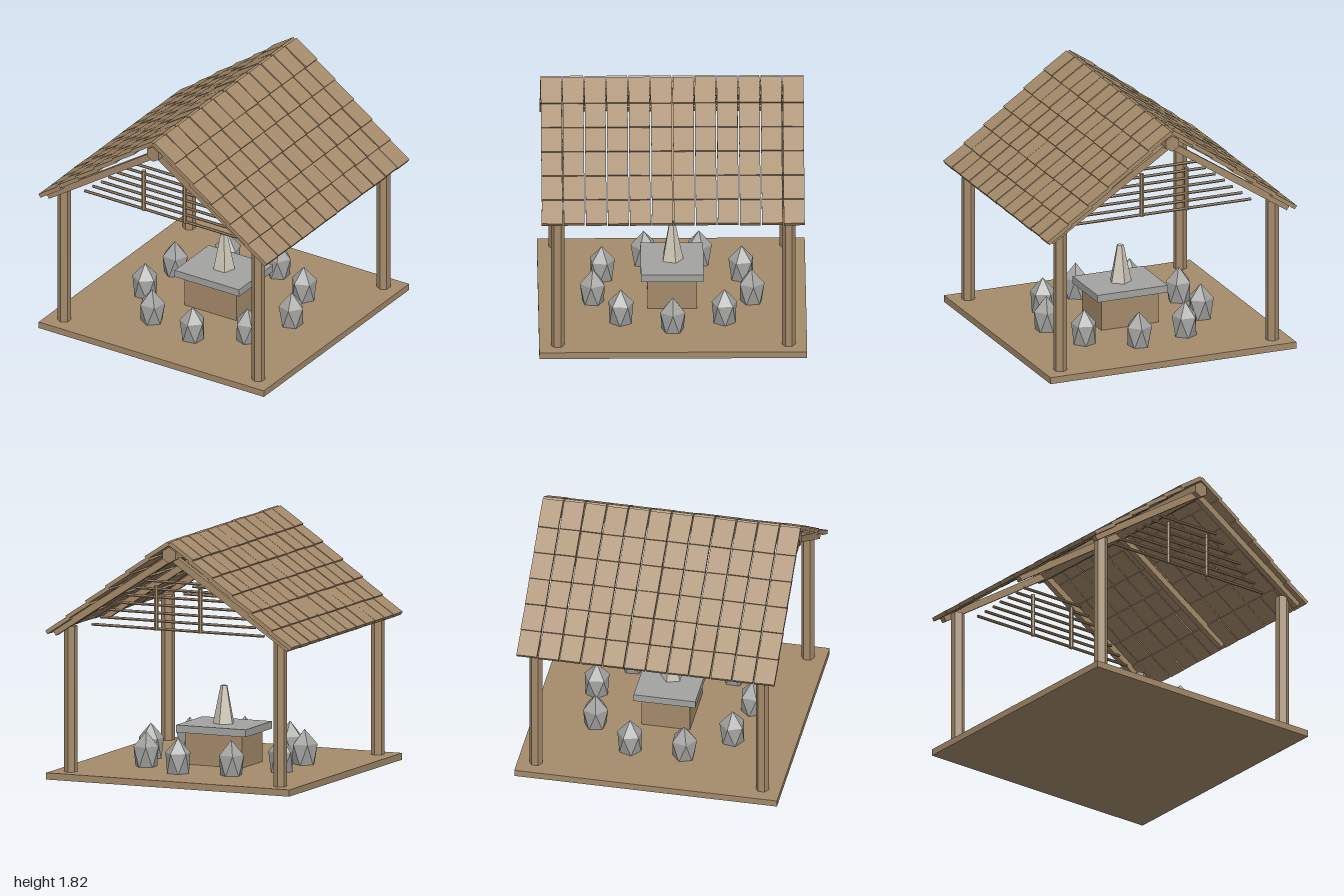
import * as THREE from 'three';
import { ConvexGeometry } from 'three/addons/geometries/ConvexGeometry.js';

export function createModel() {
  const model = new THREE.Group();
  model.name = 'pavilion';
  const material = (name, color) => {
    const m = new THREE.MeshStandardMaterial({ color });
    m.name = name;
    return m;
  };
  const wood = material('wood', 0xa58b6b);
  const stone = material('greyStone', 0xa3a3a1);
  const paleStone = material('paleStone', 0xcfc8b8);

  // Small seeded jitter in -1..1
  let seed = 7;
  const jitter = () => {
    seed = (seed * 16807) % 2147483647;
    return (seed / 2147483647) * 2 - 1;
  };

  const add = (name, geometry, mat, x, y, z, parent = model) => {
    const mesh = new THREE.Mesh(geometry, mat);
    mesh.name = name;
    mesh.position.set(x, y, z);
    parent.add(mesh);
    return mesh;
  };
  const group = (name) => {
    const g = new THREE.Group();
    g.name = name;
    model.add(g);
    return g;
  };
  // Faceted cylinder
  const prism = (rTop, rBottom, height, sides) => {
    const g = new THREE.CylinderGeometry(rTop, rBottom, height, sides).toNonIndexed();
    g.computeVertexNormals();
    return g;
  };

  // Floor and corner posts
  add('floor', new THREE.BoxGeometry(1.96, 0.05, 1.96), wood, 0, 0.025, 0);
  const postGeo = prism(0.05, 0.05, 1.08, 6);
  for (const x of [-0.845, 0.845])
    for (const z of [-0.845, 0.845]) add('post', postGeo, wood, x, 0.59, z);

  // Ridge pole
  add('ridgePole', prism(0.06, 0.06, 1.92, 6), wood, 0, 1.72, 0).rotation.x = Math.PI / 2;

  // Rafters: one pair at each gable and one in the middle
  const rafters = group('rafters');
  const slope = Math.atan(0.656);
  const rafterGeo = new THREE.BoxGeometry(1.13, 0.05, 0.045);
  for (const s of [-1, 1])
    for (const z of [-0.895, 0, 0.895])
      add('rafter', rafterGeo, wood, s * 0.4725, 1.39, z, rafters).rotation.z = -s * slope;

  // Overlapping wooden shingles, slightly uneven
  const shingles = group('shingles');
  const length = 0.22, thick = 0.03, tilt = Math.atan(0.66);
  const shingleGeo = new THREE.BoxGeometry(length, thick, 0.152);
  const c = Math.cos(tilt), sn = Math.sin(tilt);
  for (const s of [-1, 1])
    for (let row = 0; row < 6; row++)
      for (let col = 0; col < 12; col++) {
        // Offset from the lower top edge to the shingle's centre
        const x = 0.995 - 0.16 * row - (length / 2) * c - (thick / 2) * sn;
        const y = 1.1 + 0.12 * row + (length / 2) * sn - (thick / 2) * c;
        const z = (col - 5.5) * 0.161;
        const tile = add('shingle', shingleGeo, wood,
          s * (x + jitter() * 0.002), y + jitter() * 0.002, z, shingles);
        tile.rotation.set(jitter() * 0.012, jitter() * 0.012, -s * (tilt + jitter() * 0.008));
      }

  // Open lattice in both gables
  const halfWidths = [0.695, 0.625, 0.55, 0.485, 0.41, 0.335, 0.265];
  const uprightGeo = prism(0.016, 0.016, 0.33, 6);
  for (const z of [-0.8, 0.8]) {
    const lattice = group('gableLattice');
    halfWidths.forEach((w, i) => {
      add('slat', prism(0.011, 0.011, 2 * w, 6), wood, 0, 1.143 + i * 0.0588, z, lattice)
        .rotation.z = Math.PI / 2;
    });
    for (const x of [-0.18, 0.175]) add('upright', uprightGeo, wood, x, 1.297, z, lattice);
  }

  // Altar with a tapered five-sided marker
  add('altarBase', new THREE.BoxGeometry(0.455, 0.24, 0.36), wood, 0, 0.17, 0);
  add('altarTop', new THREE.BoxGeometry(0.56, 0.055, 0.46), stone, 0, 0.317, 0);
  add('obelisk', prism(0.026, 0.083, 0.28, 5), paleStone, 0, 0.485, 0).rotation.y = Math.PI;

  // Ring of nine faceted stones
  const points = [new THREE.Vector3(0, 0.31, 0)];
  for (let i = 0; i < 5; i++) {
    const a = (i / 5) * Math.PI * 2, b = a + Math.PI / 5;
    points.push(new THREE.Vector3(Math.cos(a) * 0.096, 0.2, Math.sin(a) * 0.096));
    points.push(new THREE.Vector3(Math.cos(b) * 0.084, 0.045, Math.sin(b) * 0.084));
  }
  const stoneGeo = new ConvexGeometry(points);
  const ring = group('stoneRing');
  for (let i = 0; i < 9; i++) {
    const a = (i / 9) * Math.PI * 2;
    add('seatStone', stoneGeo, stone, Math.cos(a) * 0.59, 0, Math.sin(a) * 0.59, ring).rotation.y = -a;
  }
  return model;
}
